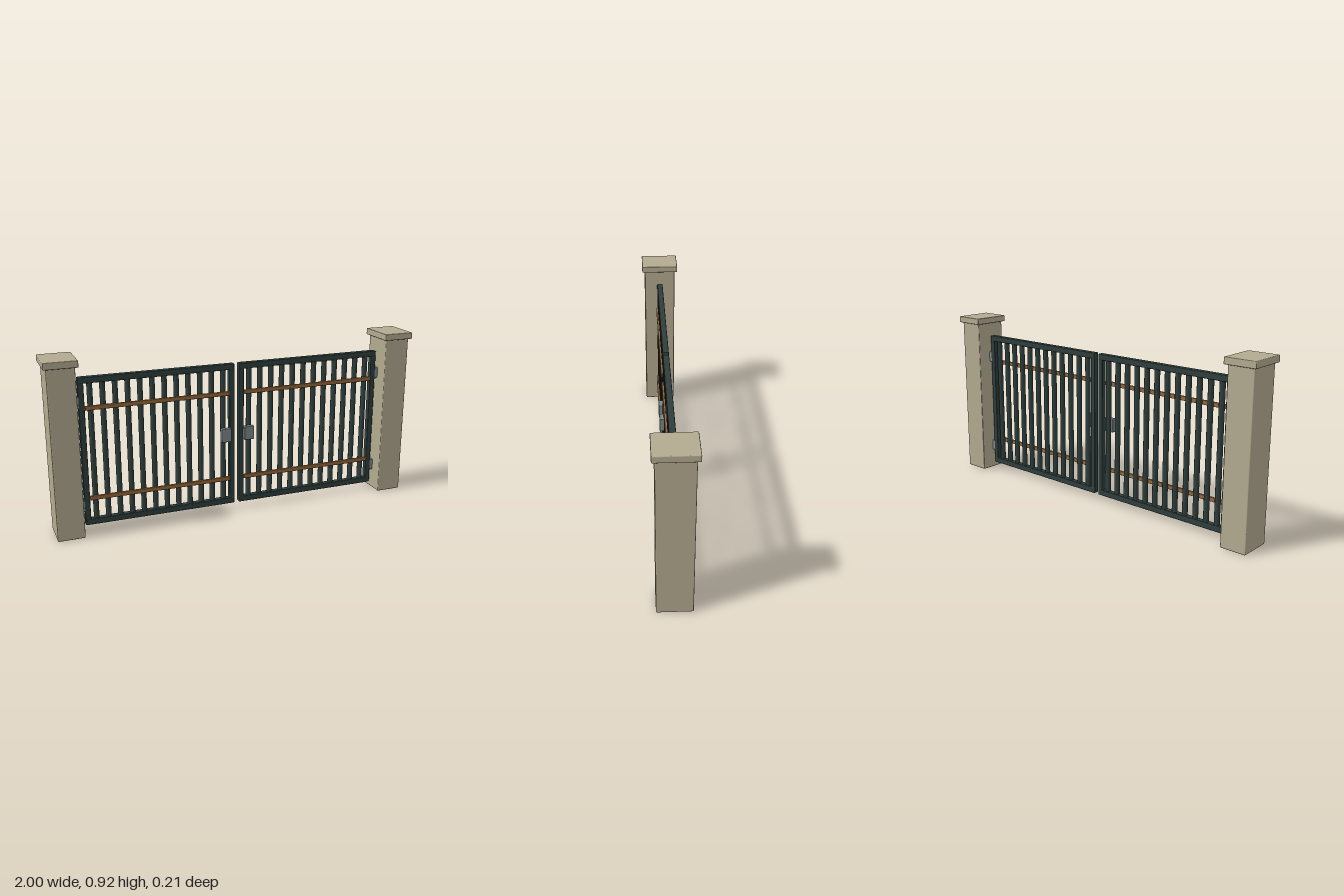
import * as THREE from 'three';
import { RoundedBoxGeometry } from 'three/addons/geometries/RoundedBoxGeometry.js';

const mat = (name, color) => {
  const m = new THREE.MeshStandardMaterial({ color });
  m.name = name;
  return m;
};

export function createModel() {
  const stone = mat('stone', 0xb3ab90);
  const iron = mat('dark green iron', 0x2f3f3d);
  const bronze = mat('bronze', 0x96683a);
  const steel = mat('grey steel', 0x7f8a89);

  // rounded box given by its limits on each axis
  function block(parent, name, material, [x0, x1], [y0, y1], [z0, z1], radius) {
    const geo = new RoundedBoxGeometry(x1 - x0, y1 - y0, z1 - z0, 2, radius);
    const mesh = new THREE.Mesh(geo, material);
    mesh.name = name;
    mesh.position.set((x0 + x1) / 2, (y0 + y1) / 2, (z0 + z1) / 2);
    parent.add(mesh);
  }

  // positions are for the +x half; s = -1 mirrors them
  function half(s) {
    const g = new THREE.Group();
    const span = (a, b) => (s > 0 ? [a, b] : [-b, -a]);

    // gate post
    block(g, 'post', stone, span(0.847, 0.986), [0, 0.89], [-0.088, 0.088], 0.005);
    block(g, 'postCap', stone, span(0.833, 1), [0.885, 0.92], [-0.103, 0.103], 0.004);

    // leaf frame
    const depth = [-0.016, 0.016];
    block(g, 'topRail', iron, span(0.013, 0.824), [0.782, 0.814], depth, 0.004);
    block(g, 'bottomRail', iron, span(0.013, 0.824), [0.034, 0.066], depth, 0.004);
    block(g, 'innerStile', iron, span(0.012, 0.041), [0.036, 0.812], [-0.015, 0.015], 0.004);
    block(g, 'outerStile', iron, span(0.8, 0.83), [0.036, 0.812], [-0.015, 0.015], 0.004);

    // upright bars
    const barGeo = new THREE.CylinderGeometry(0.0145, 0.0145, 0.73, 12);
    for (let i = 0; i < 12; i++) {
      const bar = new THREE.Mesh(barGeo, iron);
      bar.name = 'bar';
      bar.position.set(s * (0.073 + i * 0.0633), 0.424, 0);
      g.add(bar);
    }

    // bronze strips across the front
    for (const y of [0.182, 0.658])
      block(g, 'strip', bronze, span(0.04, 0.8), [y - 0.011, y + 0.011], [0.01, 0.023], 0.002);

    // lock plate
    block(g, 'lockPlate', steel, span(0.037, 0.092), [0.395, 0.47], [0.012, 0.036], 0.004);

    // hinges
    for (const y of [0.14, 0.687])
      block(g, 'hinge', steel, span(0.825, 0.852), [y - 0.03, y + 0.03], [-0.014, 0.014], 0.003);
    return g;
  }

  const model = new THREE.Group();
  model.name = 'gate';
  for (const s of [1, -1]) {
    const g = half(s);
    g.name = s > 0 ? 'leftHalf' : 'rightHalf';
    model.add(g);
  }
  return model;
}
